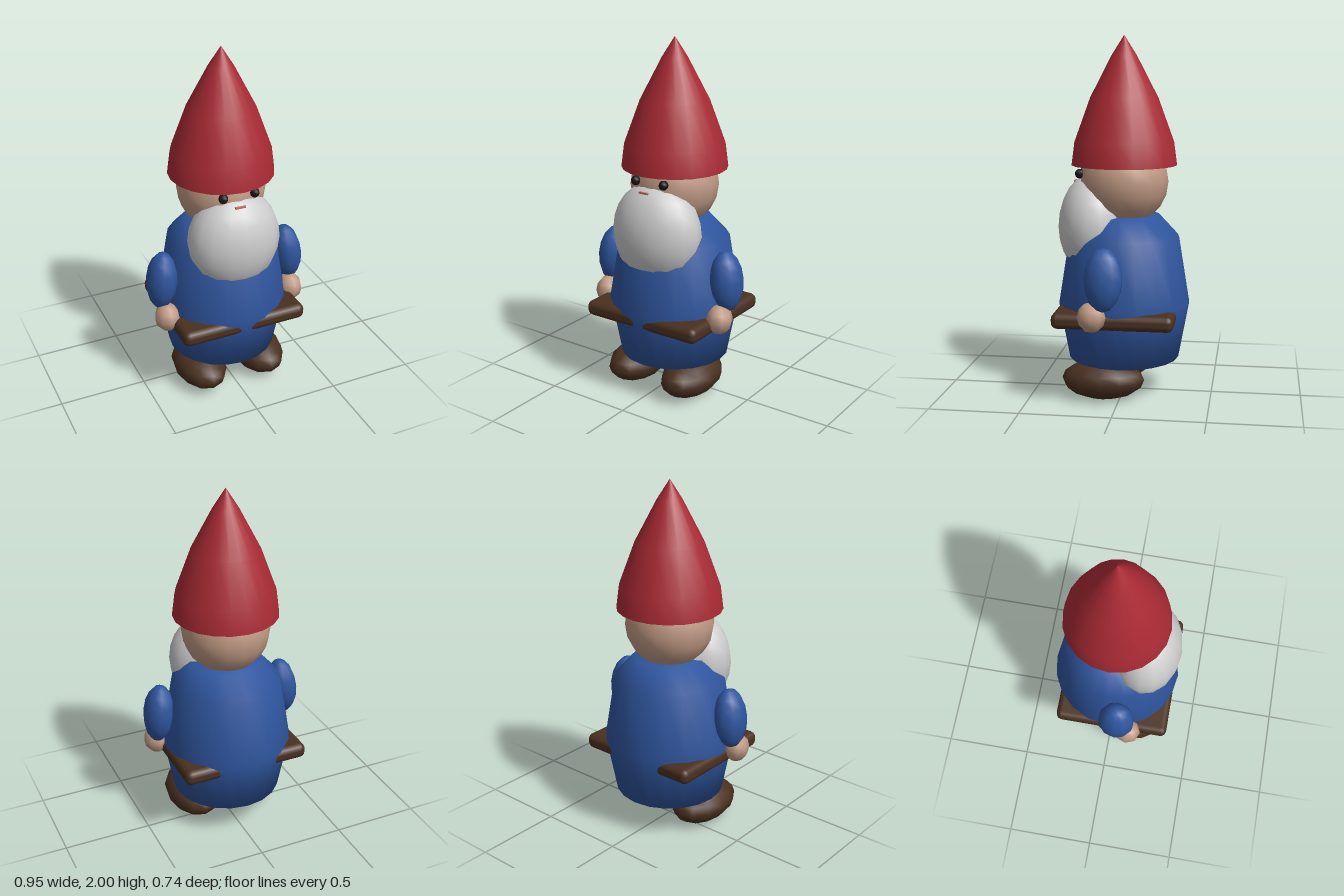
import * as THREE from 'three';
import { RoundedBoxGeometry } from 'three/addons/geometries/RoundedBoxGeometry.js';

const material = (color, side = THREE.FrontSide) => new THREE.MeshStandardMaterial({ color, side });

export function createModel() {
  const group = new THREE.Group();
  const blue = material(0x2f569f);
  const red = material(0xa92a34, THREE.DoubleSide);
  const skin = material(0xc09a84);
  const white = material(0xc6c6c3);
  const brown = material(0x4a3020);
  const black = material(0x1c1414);
  const pink = material(0xc9706a);

  function add(name, geometry, mat, position = [0, 0, 0]) {
    const mesh = new THREE.Mesh(geometry, mat);
    mesh.name = name;
    mesh.position.set(...position);
    group.add(mesh);
    return mesh;
  }

  // Sphere stretched to the given radii
  function ellipsoid(name, mat, position, radii, segments, rings) {
    const mesh = add(name, new THREE.SphereGeometry(1, segments, rings), mat, position);
    mesh.scale.set(...radii);
    return mesh;
  }

  const lathe = (profile) =>
    new THREE.LatheGeometry(profile.map(([r, y]) => new THREE.Vector2(r, y)), 20);

  // Barrel body, closed at both ends
  add('body', lathe([[0, 0.18], [0.31, 0.2], [0.37, 0.52], [0.31, 0.89], [0.2, 1.01], [0, 1.02]]), blue);

  // Pointed hat, open underneath
  add('hat', lathe([[0.295, 1.29], [0.278, 1.42], [0.19, 1.66], [0.07, 1.89], [0, 2]]), red);

  // Head, beard and mouth
  ellipsoid('head', skin, [0, 1.2, 0], [0.248, 0.248, 0.248], 16, 10);
  ellipsoid('beard', white, [0, 0.95, 0.17], [0.265, 0.29, 0.2], 16, 12);
  add('mouth', new THREE.BoxGeometry(0.06, 0.01, 0.02), pink, [-0.01, 1.195, 0.27]);

  // Square belt that shows at the body's four corners
  add('belt', new RoundedBoxGeometry(0.74, 0.088, 0.665, 2, 0.035), brown, [0, 0.472, 0.022]);

  // Mirrored parts
  for (const [side, s] of [['left', 1], ['right', -1]]) {
    ellipsoid(side + 'Eye', black, [s * 0.092, 1.245, 0.235], [0.027, 0.027, 0.027], 8, 6);
    const arm = ellipsoid(side + 'Arm', blue, [s * 0.388, 0.715, 0.06], [0.086, 0.172, 0.105], 10, 8);
    arm.rotation.z = s * 0.1;
    ellipsoid(side + 'Hand', skin, [s * 0.385, 0.51, 0.125], [0.073, 0.083, 0.078], 8, 6);
    ellipsoid(side + 'Foot', brown, [s * 0.185, 0.11, 0.093], [0.147, 0.11, 0.23], 12, 8);
  }

  return group;
}
